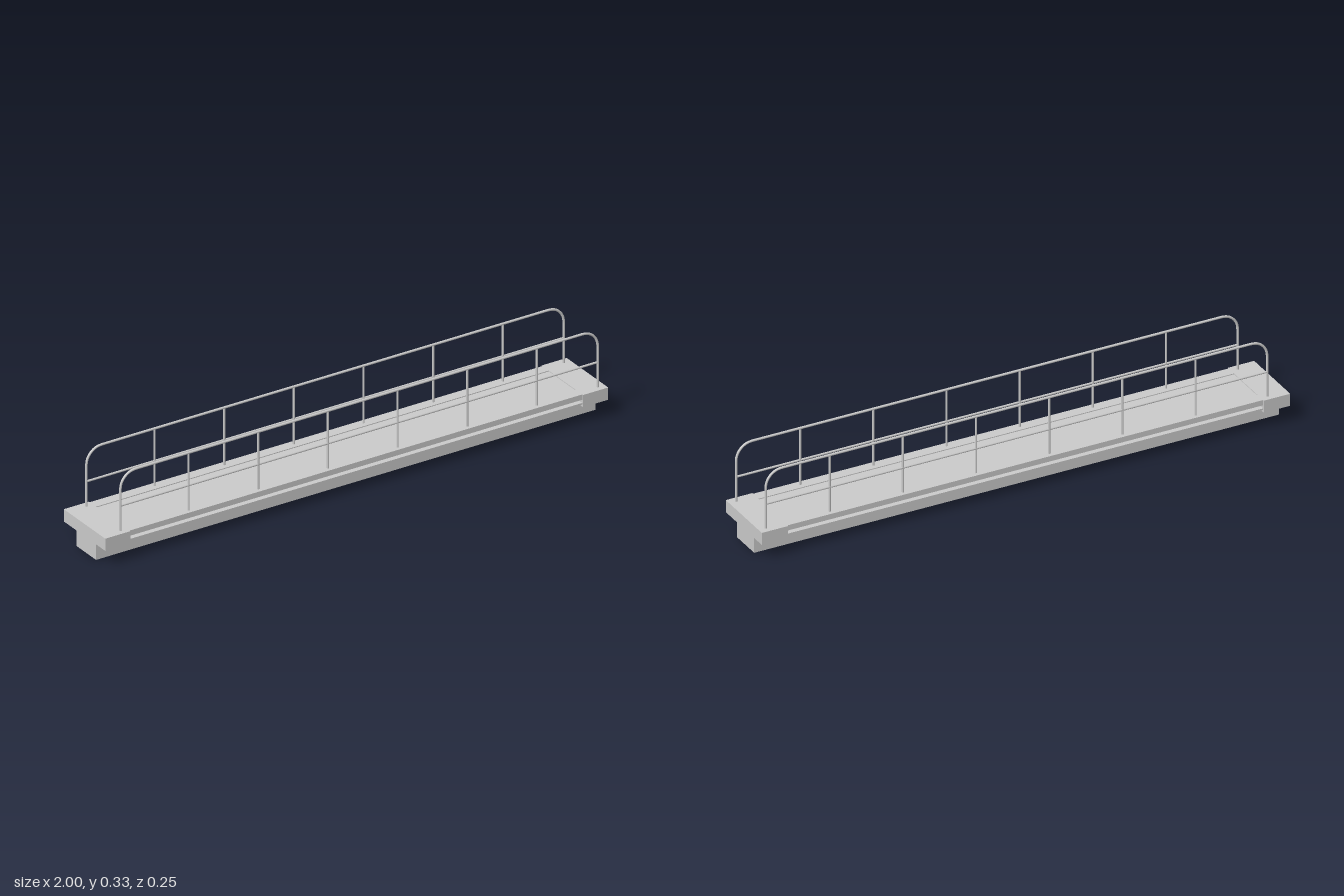
import * as THREE from 'three';

const grey = new THREE.MeshStandardMaterial({ color: 0xcccccc });

export function createModel() {
  const model = new THREE.Group();

  const add = (name, geometry, parent = model) => {
    const mesh = new THREE.Mesh(geometry, grey);
    mesh.name = name;
    parent.add(mesh);
    return mesh;
  };
  // Box given by its min and max on each axis
  const box = (name, x0, x1, y0, y1, z0, z1) => {
    const mesh = add(name, new THREE.BoxGeometry(x1 - x0, y1 - y0, z1 - z0));
    mesh.position.set((x0 + x1) / 2, (y0 + y1) / 2, (z0 + z1) / 2);
    return mesh;
  };

  // Central beam and the walkway plate resting on it
  box('mainBeam', -0.993, 0.993, 0, 0.075, -0.06, 0.06);
  box('deckPlate', -0.9, 0.9, 0.074, 0.108, -0.084, 0.084);

  // Cross blocks closing both ends
  for (const side of [-1, 1]) {
    const name = side > 0 ? 'leftEndBlock' : 'rightEndBlock';
    box(name, side * 0.95 - 0.05, side * 0.95 + 0.05, 0.065, 0.111, -0.127, 0.127);
  }

  // Edge channel, open to the outside, swept along the deck
  const channel = new THREE.Shape([
    [0.083, 0.073], [0.122, 0.073], [0.122, 0.079], [0.09, 0.079],
    [0.09, 0.091], [0.122, 0.091], [0.122, 0.111], [0.083, 0.111],
  ].map(([z, y]) => new THREE.Vector2(z, y)));

  // Bent tube that forms the handrail and its two end posts
  const left = -0.925, right = 0.973, top = 0.326, foot = 0.108, bend = 0.06;
  const v = (x, y) => new THREE.Vector3(x, y, 0);
  const corner = (cx, from, to) => Array.from({ length: 9 }, (_, i) => {
    const a = from + (to - from) * i / 8;
    return v(cx + bend * Math.cos(a), top - bend + bend * Math.sin(a));
  });
  const points = [
    v(left, foot),
    ...corner(left + bend, Math.PI, Math.PI / 2),
    ...corner(right - bend, Math.PI / 2, 0),
    v(right, foot),
  ];
  const railPath = new THREE.CurvePath();
  for (let i = 1; i < points.length; i++) {
    railPath.add(new THREE.LineCurve3(points[i - 1], points[i]));
  }
  const railGeometry = new THREE.TubeGeometry(railPath, 240, 0.0045, 10);

  for (const side of [-1, 1]) {
    const label = side > 0 ? 'front' : 'back';

    const edge = add(label + 'EdgeChannel',
      new THREE.ExtrudeGeometry(channel, { depth: 1.8, bevelEnabled: false }));
    edge.rotation.y = -side * Math.PI / 2;
    edge.position.x = side * 0.9;
    // Shape x points outward along z after the quarter turn

    const railing = new THREE.Group();
    railing.name = label + 'Railing';
    railing.position.z = side * 0.104;
    model.add(railing);
    add('handrail', railGeometry, railing);

    // Horizontal middle bar
    const mid = add('middleBar',
      new THREE.CylinderGeometry(0.004, 0.004, right - left, 10), railing);
    mid.rotation.z = Math.PI / 2;
    mid.position.set((left + right) / 2, 0.204, 0);

    // Evenly spaced intermediate posts
    for (let i = 0; i < 6; i++) {
      const post = add('post',
        new THREE.CylinderGeometry(0.004, 0.004, top - foot, 10), railing);
      post.position.set(-0.654 + i * 0.277, (top + foot) / 2, 0);
    }
  }

  return model;
}
